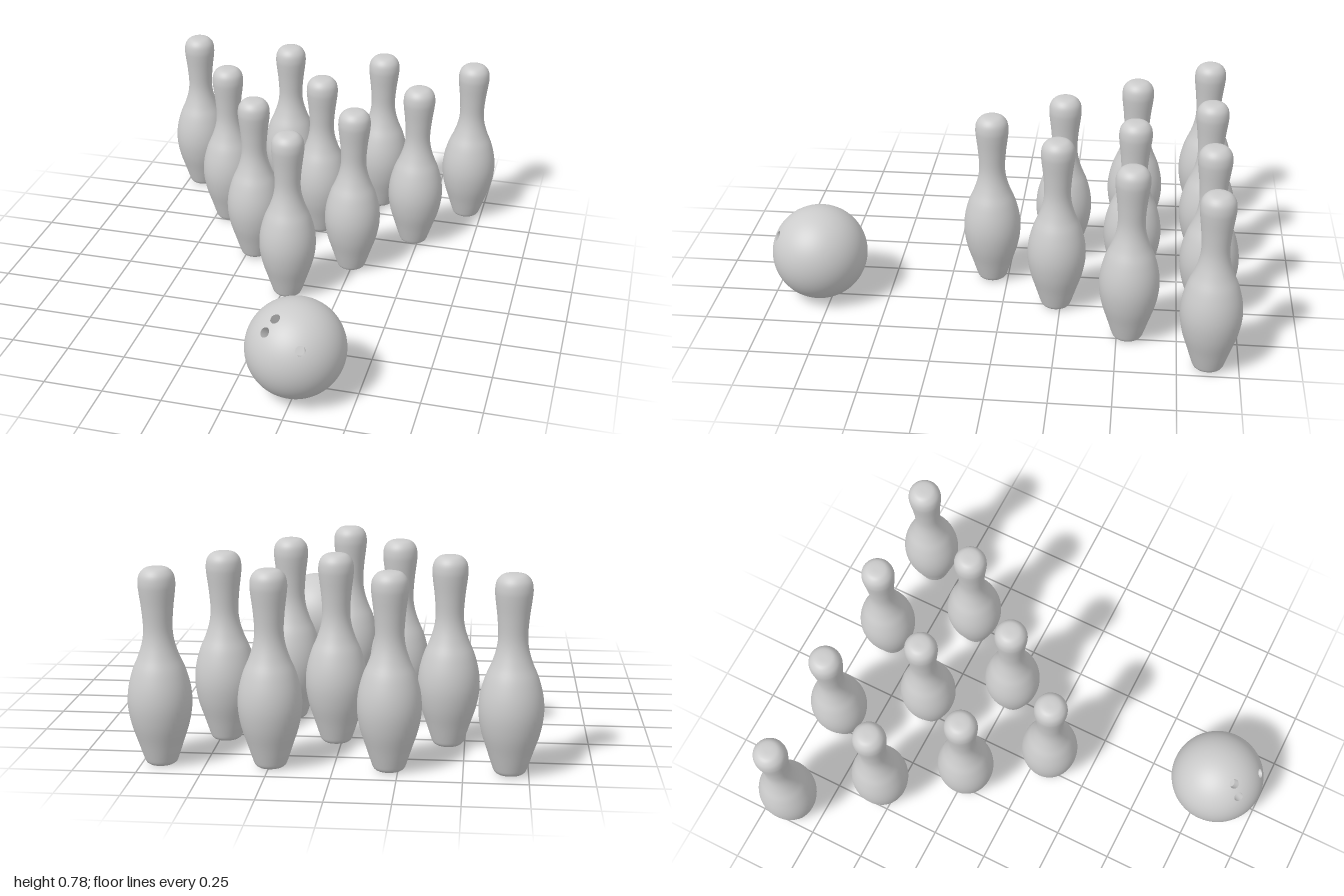
import * as THREE from 'three';

const material = new THREE.MeshStandardMaterial({ color: 0xcccccc });

// Smooth pin silhouette, revolved around its upright axis
function pinGeometry() {
  const profile = [
    [0.05, 0.003], [0.061, 0.012], [0.07, 0.035], [0.088, 0.09], [0.112, 0.165], [0.124, 0.24],
    [0.12, 0.31], [0.102, 0.38], [0.079, 0.435], [0.062, 0.49], [0.056, 0.545],
    [0.061, 0.62], [0.069, 0.685], [0.0715, 0.72], [0.066, 0.752], [0.048, 0.774],
    [0.025, 0.781], [0, 0.782],
  ].map(([r, y]) => new THREE.Vector2(r, y));
  const side = new THREE.SplineCurve(profile).getPoints(60);
  side[side.length - 1].x = 0;
  return new THREE.LatheGeometry([new THREE.Vector2(0, 0), new THREE.Vector2(0.035, 0), ...side], 48);
}

// Ball with round finger holes: the sphere is opened and its edge snapped to each rim
function createBall(radius, holeRadius, depth, holeDirections) {
  const ball = new THREE.Group();
  ball.name = 'ball';
  const axes = holeDirections.map((d) => new THREE.Vector3(...d).normalize());
  const rimAngle = Math.asin(holeRadius / radius);

  const shell = new THREE.SphereGeometry(radius, 160, 80);
  const pos = shell.attributes.position;
  const normal = shell.attributes.normal;
  const holeOf = [];
  const v = new THREE.Vector3();
  for (let i = 0; i < pos.count; i++) {
    v.fromBufferAttribute(pos, i).normalize();
    holeOf[i] = axes.findIndex((a) => a.angleTo(v) < rimAngle);
    if (holeOf[i] < 0) continue;
    const axis = axes[holeOf[i]];
    const outward = v.clone().addScaledVector(axis, -v.dot(axis)).normalize();
    v.copy(axis).multiplyScalar(Math.cos(rimAngle)).addScaledVector(outward, Math.sin(rimAngle));
    normal.setXYZ(i, v.x, v.y, v.z);
    pos.setXYZ(i, v.x * radius, v.y * radius, v.z * radius);
  }
  const kept = [];
  const index = shell.index.array;
  for (let i = 0; i < index.length; i += 3) {
    const face = [index[i], index[i + 1], index[i + 2]];
    if (face.some((n) => holeOf[n] < 0)) kept.push(...face);
  }
  shell.setIndex(kept);
  const shellMesh = new THREE.Mesh(shell, material);
  shellMesh.name = 'ballShell';
  ball.add(shellMesh);

  // Hole walls face inward, floors face out of the hole
  const rimHeight = radius * Math.cos(rimAngle);
  const wall = new THREE.LatheGeometry([
    new THREE.Vector2(holeRadius, rimHeight),
    new THREE.Vector2(holeRadius, rimHeight - depth),
  ], 32);
  const floor = new THREE.CircleGeometry(holeRadius, 32);
  floor.rotateX(-Math.PI / 2).translate(0, rimHeight - depth, 0);
  for (const axis of axes) {
    const hole = new THREE.Group();
    hole.name = 'fingerHole';
    const wallMesh = new THREE.Mesh(wall, material);
    wallMesh.name = 'holeWall';
    const floorMesh = new THREE.Mesh(floor, material);
    floorMesh.name = 'holeFloor';
    hole.add(wallMesh, floorMesh);
    hole.quaternion.setFromUnitVectors(new THREE.Vector3(0, 1, 0), axis);
    ball.add(hole);
  }
  return ball;
}

export function createModel() {
  const model = new THREE.Group();
  model.name = 'bowlingSet';

  // Ten pins in a triangle, one at the front and four at the back
  const rows = [
    { z: 0.07, xs: [0.022] },
    { z: -0.23, xs: [-0.215, 0.245] },
    { z: -0.545, xs: [-0.432, 0.022, 0.475] },
    { z: -0.875, xs: [-0.678, -0.215, 0.245, 0.674] },
  ];
  const geometry = pinGeometry();
  for (const { z, xs } of rows) {
    for (const x of xs) {
      const pin = new THREE.Mesh(geometry, material);
      pin.name = 'pin';
      pin.position.set(x, 0, z);
      model.add(pin);
    }
  }

  // Ball with two finger holes and a thumb hole
  const ball = createBall(0.204, 0.021, 0.05, [
    [-0.09, 0.131, 0.124],
    [-0.06, 0.174, 0.085],
    [0.062, 0.098, 0.165],
  ]);
  ball.position.set(0.25, 0.209, 0.796);
  model.add(ball);
  return model;
}
